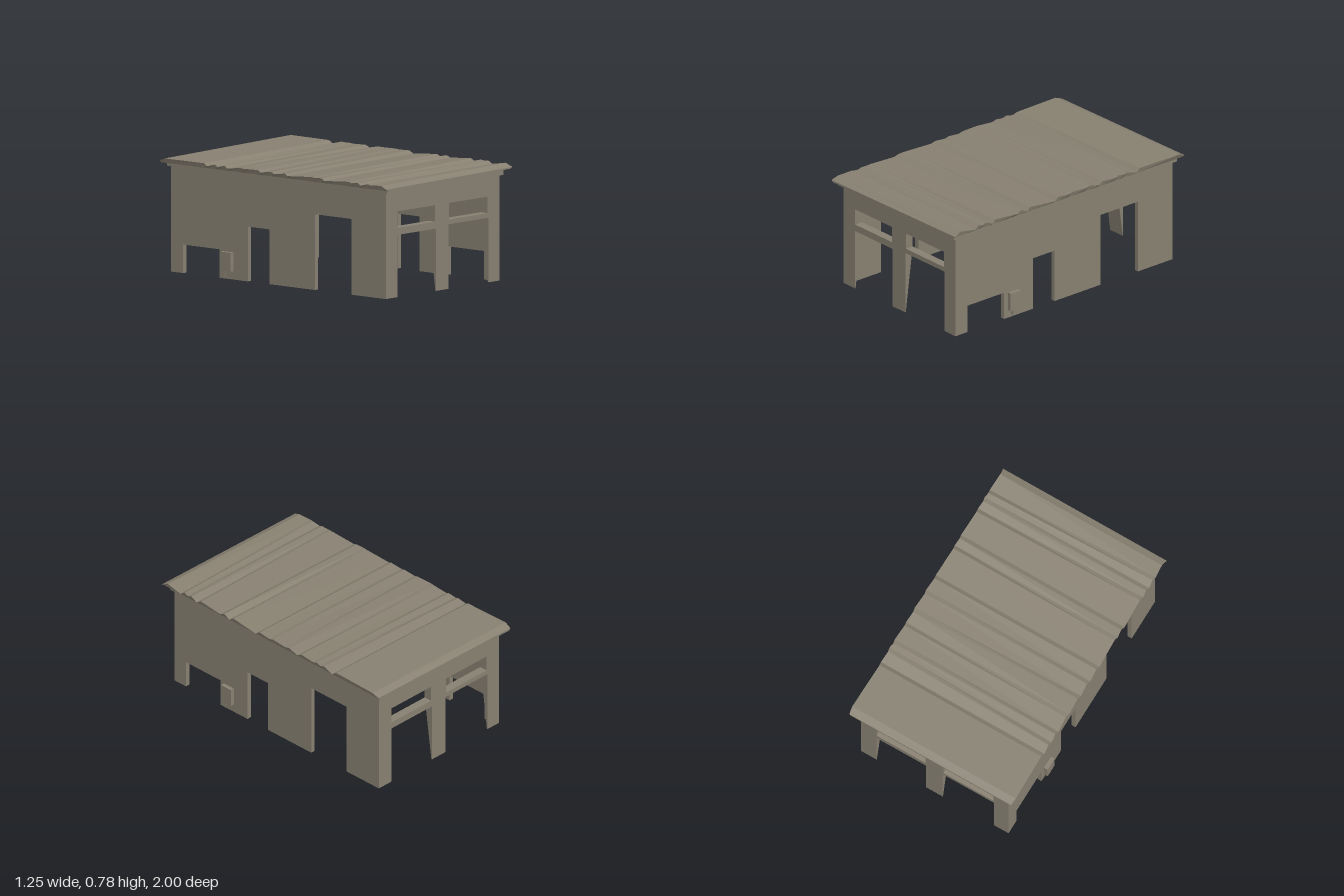
import * as THREE from 'three';

const concrete = new THREE.MeshStandardMaterial({ color: 0x878071 });
concrete.name = 'weathered concrete';

function part(name, geometry, parent) {
  const mesh = new THREE.Mesh(geometry, concrete);
  mesh.name = name;
  parent.add(mesh);
  return mesh;
}

const shapeOf = (pts) => new THREE.Shape(pts.map(([x, y]) => new THREE.Vector2(x, y)));
const rectHole = (x0, x1, y0, y1) =>
  new THREE.Path([[x0, y0], [x0, y1], [x1, y1], [x1, y0]].map(([x, y]) => new THREE.Vector2(x, y)));

// Wall with doorways cut up from the ground: doors are [from, to, height]
function wallShape(halfWidth, height, doors) {
  const pts = [[-halfWidth, 0]];
  for (const [a, b, h] of doors) pts.push([a, 0], [a, h], [b, h], [b, 0]);
  pts.push([halfWidth, 0], [halfWidth, 0.42], [halfWidth, height], [-halfWidth, height], [-halfWidth, 0.42]);
  return shapeOf(pts);
}

// End wall with two bays and two windows; its piers thin out towards the ground
function endWallGeometry() {
  const shape = wallShape(0.565, 0.71, [[-0.447, -0.067, 0.415], [0.06, 0.455, 0.43]]);
  shape.holes.push(rectHole(-0.447, -0.073, 0.462, 0.572), rectHole(0.065, 0.449, 0.462, 0.572));
  const geo = new THREE.ExtrudeGeometry(shape, { depth: 0.06, bevelEnabled: false });
  geo.translate(0, 0, 0.885);
  const p = geo.attributes.position;
  for (let i = 0; i < p.count; i++) {
    if (p.getY(i) < 0.001 && p.getZ(i) < 0.9) p.setZ(i, 0.941);
  }
  geo.computeVertexNormals();
  return geo;
}

// Long wall with a low, a middle and a tall doorway
function sideWallGeometry() {
  const shape = wallShape(0.943, 0.71, [[-0.84, -0.52, 0.19], [-0.27, -0.08, 0.365], [0.32, 0.645, 0.505]]);
  const geo = new THREE.ExtrudeGeometry(shape, { depth: 0.032, bevelEnabled: false });
  return geo.rotateY(Math.PI / 2).translate(0.533, 0, 0);
}

// One half of the building; the other half is the same, turned around
function buildHalf() {
  const half = new THREE.Group();
  part('endWall', endWallGeometry(), half);
  part('sideWall', sideWallGeometry(), half);
  part('utilityBox', new THREE.BoxGeometry(0.032, 0.126, 0.09), half).position.set(0.577, 0.118, 0.442);
  [[0.462, 0.05], [0.456, 0.035]].forEach(([z, len], i) => {
    const pipe = part('boxPipe', new THREE.CylinderGeometry(0.006, 0.003, len, 6), half);
    pipe.position.set(0.575 + i * 0.007, 0.057 - len / 2, z);
  });
  return half;
}

// Roof sheets: each lap is [z at left, z at right, drop at left, drop at right]
const laps = [
  [-0.582, -0.582, 0.016, 0.021], [-0.49, -0.472, 0.012, 0.003], [-0.402, -0.405, 0.014, 0.005],
  [-0.262, -0.26, 0.002, 0.016], [-0.112, -0.148, 0.012, 0.003], [0.008, 0, 0.012, 0.004],
  [0.128, 0.126, 0.013, 0.019], [0.365, 0.37, 0.003, 0.02], [0.45, 0.452, 0.014, 0.014],
  [0.692, 0.67, 0.006, 0.02], [0.77, 0.755, 0.014, 0.006], [0.855, 0.822, 0.004, 0.02],
];

function roofGeometry() {
  const topL = 0.76, topR = 0.779;
  // Rows of [zL, zR, yL, yR]
  const rows = [[-1, -1, 0.742, 0.757], [-0.95, -0.95, topL, topR]];
  for (const [zl, zr, dl, dr] of laps) {
    rows.push([zl - 0.026, zr - 0.026, topL, topR]);
    rows.push([zl + 0.004, zr + 0.004, topL - dl, topR - dr]);
  }
  rows.push([0.95, 0.95, topL, topR], [1, 1, 0.74, 0.755]);

  const rings = rows.map(([zl, zr, yl, yr], i) => {
    const wob = i % 2 ? 0.003 : -0.004;
    return [[-0.624 - wob, yl, zl], [0.624 + wob, yr, zr], [0.61, 0.745, zr], [-0.61, 0.728, zl]];
  });
  const pos = [];
  const quad = (a, b, c, d) => pos.push(...a, ...b, ...c, ...a, ...c, ...d);
  for (let i = 0; i + 1 < rings.length; i++) {
    const a = rings[i], b = rings[i + 1];
    for (let j = 0; j < 4; j++) quad(a[j], b[j], b[(j + 1) % 4], a[(j + 1) % 4]);
  }
  quad(...rings[0]);
  quad(...rings[rings.length - 1].slice().reverse());
  const geo = new THREE.BufferGeometry();
  geo.setAttribute('position', new THREE.Float32BufferAttribute(pos, 3));
  geo.computeVertexNormals();
  return geo;
}

export function createModel() {
  const model = new THREE.Group();
  model.name = 'shed';

  const body = new THREE.Group();
  body.name = 'walls';
  body.position.x = -0.004;
  model.add(body);
  const front = buildHalf();
  front.name = 'frontHalf';
  const back = buildHalf();
  back.name = 'backHalf';
  back.rotation.y = Math.PI;
  body.add(front, back);

  // Ceiling slab with a projecting rim, its top sloped to meet the roof
  const slab = new THREE.BoxGeometry(1.16, 0.03, 1.94).translate(0, 0.72, 0);
  const p = slab.attributes.position;
  for (let i = 0; i < p.count; i++) {
    if (p.getY(i) > 0.72) p.setY(i, 0.737 + 0.014 * p.getX(i));
  }
  slab.computeVertexNormals();
  part('ceilingSlab', slab, body);

  part('corrugatedRoof', roofGeometry(), model);
  return model;
}
